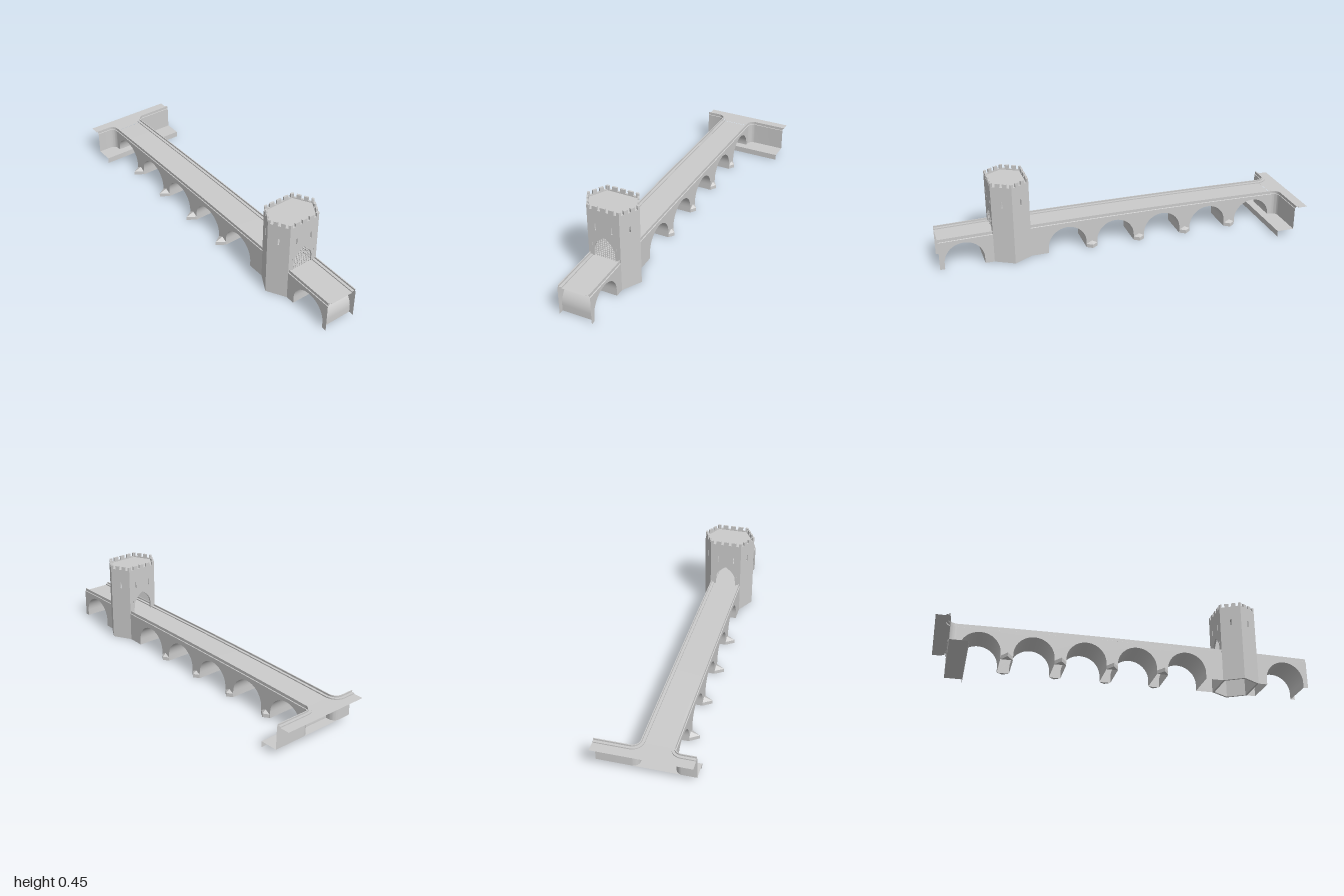
import * as THREE from 'three';
import { toCreasedNormals } from 'three/addons/utils/BufferGeometryUtils.js';
import { ConvexGeometry } from 'three/addons/geometries/ConvexGeometry.js';

const CX = -0.0535;          // centre line of the bridge
const HALF = 0.0885;         // half width of the bridge
const R = 0.105;             // arch radius
const SPRING = 0.034;        // height where the arches spring
const SHELF = 0.033;         // quay ledge height
const ROAD = 0.16;           // quay road height
const TOWER_Z = 0.615, TOWER_FRONT = 0.715, TOWER_BACK = 0.515;
const END_Z = -0.89;
const mat = new THREE.MeshStandardMaterial({ color: 0xcccccc, side: THREE.DoubleSide });

// gently cambered parapet height along the bridge
const topY = z => 0.183 - 0.0112 * (z - 0.03) ** 2;
const V = (x, y, z) => new THREE.Vector3(x, y, z);

function add(parent, name, geometry) {
  const mesh = new THREE.Mesh(geometry, mat);
  mesh.name = name;
  parent.add(mesh);
  return mesh;
}

// surface through a row of equal-length cross-sections
function loft(sections) {
  const n = sections[0].length, index = [];
  for (let i = 0; i < sections.length - 1; i++) {
    for (let j = 0; j < n - 1; j++) {
      const a = i * n + j, b = a + n;
      index.push(a, b, a + 1, a + 1, b, b + 1);
    }
  }
  const g = new THREE.BufferGeometry().setFromPoints(sections.flat());
  g.setIndex(index);
  return toCreasedNormals(g, 0.5);
}

const range = (a, b, n) => Array.from({ length: n + 1 }, (_, i) => a + (b - a) * i / n);

// arch outline as [z, y] from its front foot to its back foot
function archLine(z, backFoot) {
  const arc = range(0, Math.PI, 28).map(t => [z + R * Math.cos(t), SPRING + R * Math.sin(t)]);
  return [[z + R, 0], ...arc, [z - R, backFoot]];
}

// one stretch of bridge: side walls, arch vaults and deck
function span(group, z0, z1, arches, backFoot) {
  const outline = [[z0, 0]];
  arches.forEach((z, i) => {
    const last = i === arches.length - 1;
    const line = archLine(z, last ? backFoot : 0);
    outline.push(...line);
    add(group, 'archVault', loft(line.map(([pz, y]) => [V(CX - HALF, y, pz), V(CX + HALF, y, pz)])));
  });
  outline.push([z1, backFoot]);
  range(z1, z0, 16).forEach(z => outline.push([z, topY(z) - 0.018]));
  const shape = new THREE.Shape(outline.map(([z, y]) => new THREE.Vector2(-z, y)));
  for (const s of [-1, 1]) {
    const wall = add(group, 'sideWall', new THREE.ShapeGeometry(shape));
    wall.rotation.y = Math.PI / 2;
    wall.position.x = CX + s * HALF;
  }
}

function deck(group) {
  // half profile: ledge, parapet, kerb, road
  const half = [[HALF, -0.018], [0.0845, -0.016], [0.0845, 0], [0.0795, 0],
    [0.0795, -0.009], [0.066, -0.009], [0.066, -0.015]];
  const profile = [...half.map(([x, y]) => [-x, y]), ...half.slice().reverse()];
  add(group, 'deck', loft(range(1, END_Z, 32).map(z => profile.map(([x, y]) => V(CX + x, topY(z) + y, z)))));
}

// pointed doorway: half width at a height, and height at an offset
const DOOR = 0.057, DOOR_SPRING = 0.2, DOOR_RISE = 0.084, POW = 2.2;
const doorHalf = y => y < DOOR_SPRING ? DOOR : DOOR * (1 - ((y - DOOR_SPRING) / DOOR_RISE) ** POW);
const doorTop = x => DOOR_SPRING + DOOR_RISE * Math.max(0, 1 - Math.abs(x) / DOOR) ** (1 / POW);

function doorPath() {
  const right = range(DOOR_SPRING, DOOR_SPRING + DOOR_RISE, 14).map(y => [doorHalf(y), y]);
  const left = right.slice(0, -1).reverse().map(([x, y]) => [-x, y]);
  return new THREE.Path([[0.063, 0.1], ...right, ...left, [-0.063, 0.1]].map(p => new THREE.Vector2(...p)));
}

function slot(x, y0, y1, w) {
  return new THREE.Path([[x - w, y0], [x + w, y0], [x + w, y1], [x - w, y1]].map(p => new THREE.Vector2(...p)));
}

// crenellated wall panel with openings
function towerWall(length, notches, gap, holes) {
  const pts = [[-length / 2, 0], [length / 2, 0], [length / 2, 0.45]];
  for (let i = notches - 1; i >= 0; i--) {
    const x = length * ((i + 0.5) / notches - 0.5);
    pts.push([x + gap, 0.45], [x + gap, 0.43], [x - gap, 0.43], [x - gap, 0.45]);
  }
  pts.push([-length / 2, 0.45]);
  const shape = new THREE.Shape(pts.map(p => new THREE.Vector2(...p)));
  shape.holes.push(...holes);
  return new THREE.ExtrudeGeometry(shape, { depth: 0.01, bevelEnabled: false }).translate(0, 0, -0.01);
}

function tower() {
  const g = new THREE.Group();
  g.name = 'gateTower';
  g.position.set(CX, 0, TOWER_Z);
  const corners = [[-HALF, 0.1], [HALF, 0.1], [0.145, 0], [HALF, -0.1], [-HALF, -0.1], [-0.145, 0]];
  corners.forEach(([x0, z0], i) => {
    const [x1, z1] = corners[(i + 1) % 6];
    const length = Math.hypot(x1 - x0, z1 - z0);
    const gate = i % 3 === 0;
    const holes = gate
      ? [doorPath(), ...[-1, 1].flatMap(s => [slot(s * 0.045, 0.315, 0.353, 0.003), slot(s * 0.066, 0.225, 0.239, 0.0015)])]
      : [slot(0, 0.317, 0.353, 0.004)];
    const wall = add(g, gate ? 'gateWall' : 'towerSide', towerWall(length, gate ? 4 : 3, 0.008, holes));
    wall.position.set((x0 + x1) / 2, 0, (z0 + z1) / 2);
    wall.rotation.y = Math.atan2(-(z1 - z0), x1 - x0);
  });
  const roof = add(g, 'towerRoof', new THREE.ShapeGeometry(
    new THREE.Shape(corners.map(([x, z]) => new THREE.Vector2(x * 0.97, -z * 0.97)))));
  roof.rotation.x = -Math.PI / 2;
  roof.position.y = 0.424;

  // portcullis bars cut to the doorway
  const grille = new THREE.Group();
  grille.name = 'portcullis';
  grille.position.z = 0.094;
  for (let i = -4; i <= 4; i++) {
    const x = i * 0.0118, h = doorTop(x) - 0.163;
    add(grille, 'uprightBar', new THREE.BoxGeometry(0.0025, h, 0.0025)).position.set(x, 0.163 + h / 2, 0);
  }
  for (let y = 0.172; y < 0.28; y += 0.0118) {
    add(grille, 'crossBar', new THREE.BoxGeometry(2 * doorHalf(y), 0.0025, 0.0025)).position.y = y;
  }
  g.add(grille);
  return g;
}

// pointed pier foot with a sloped cap; reach is signed
function cutwater(reach) {
  return new ConvexGeometry([V(0, 0, -0.03), V(0, 0, 0.03), V(reach, 0, 0), V(0, 0.02, -0.03),
    V(0, 0.02, 0.03), V(reach, 0.02, 0), V(0, 0.036, 0)]);
}

function quay() {
  const g = new THREE.Group();
  g.name = 'quay';
  const r = 0.035;
  // wall section: offset towards the road, height
  const section = [[0, SHELF], [0, 0.157], [0.004, 0.158], [0.004, 0.174], [0.009, 0.174],
    [0.009, 0.166], [0.0225, 0.166], [0.0225, ROAD]];
  const edges = [-1, 1].map(s => {
    const cx = CX + s * (HALF + r);
    const path = range(0, Math.PI / 2, 10).map(t => {
      const nx = -s * Math.cos(t), nz = -Math.sin(t);
      return { x: cx + r * nx, z: END_Z + r * nz, nx, nz };
    });
    path.push({ x: s * 0.25, z: END_Z - r, nx: 0, nz: -1 });
    add(g, 'quayWall', loft(path.map(p => section.map(([d, y]) => V(p.x + p.nx * d, y, p.z + p.nz * d)))));
    return path.map(p => new THREE.Vector2(p.x + p.nx * 0.0225, -(p.z + p.nz * 0.0225)));
  });
  // road surface behind the parapets
  const road = add(g, 'quayRoad', new THREE.ShapeGeometry(new THREE.Shape([
    ...edges[0].reverse(), ...edges[1], new THREE.Vector2(0.25, 1), new THREE.Vector2(-0.25, 1)])));
  road.rotation.x = -Math.PI / 2;
  road.position.y = ROAD;
  // low ledge and its front drop
  const ledge = [[END_Z - r, SHELF], [-0.83, SHELF], [-0.83, 0]];
  add(g, 'quayLedge', loft([-0.25, 0.25].map(x => ledge.map(([z, y]) => V(x, y, z)))));
  return g;
}

export function createModel() {
  const model = new THREE.Group();
  model.name = 'fortifiedBridge';
  const bridge = new THREE.Group();
  bridge.name = 'bridge';
  span(bridge, 1, TOWER_FRONT, [0.869], 0);
  span(bridge, TOWER_BACK, END_Z, [0.316, 0.046, -0.224, -0.495, -0.769], SHELF);
  deck(bridge);
  for (const z of [0.181, -0.089, -0.36, -0.632]) {
    add(bridge, 'leftCutwater', cutwater(0.021)).position.set(CX + HALF, 0, z);
    add(bridge, 'rightCutwater', cutwater(-0.046)).position.set(CX - HALF, 0, z);
  }
  model.add(bridge, tower(), quay());
  return model;
}
